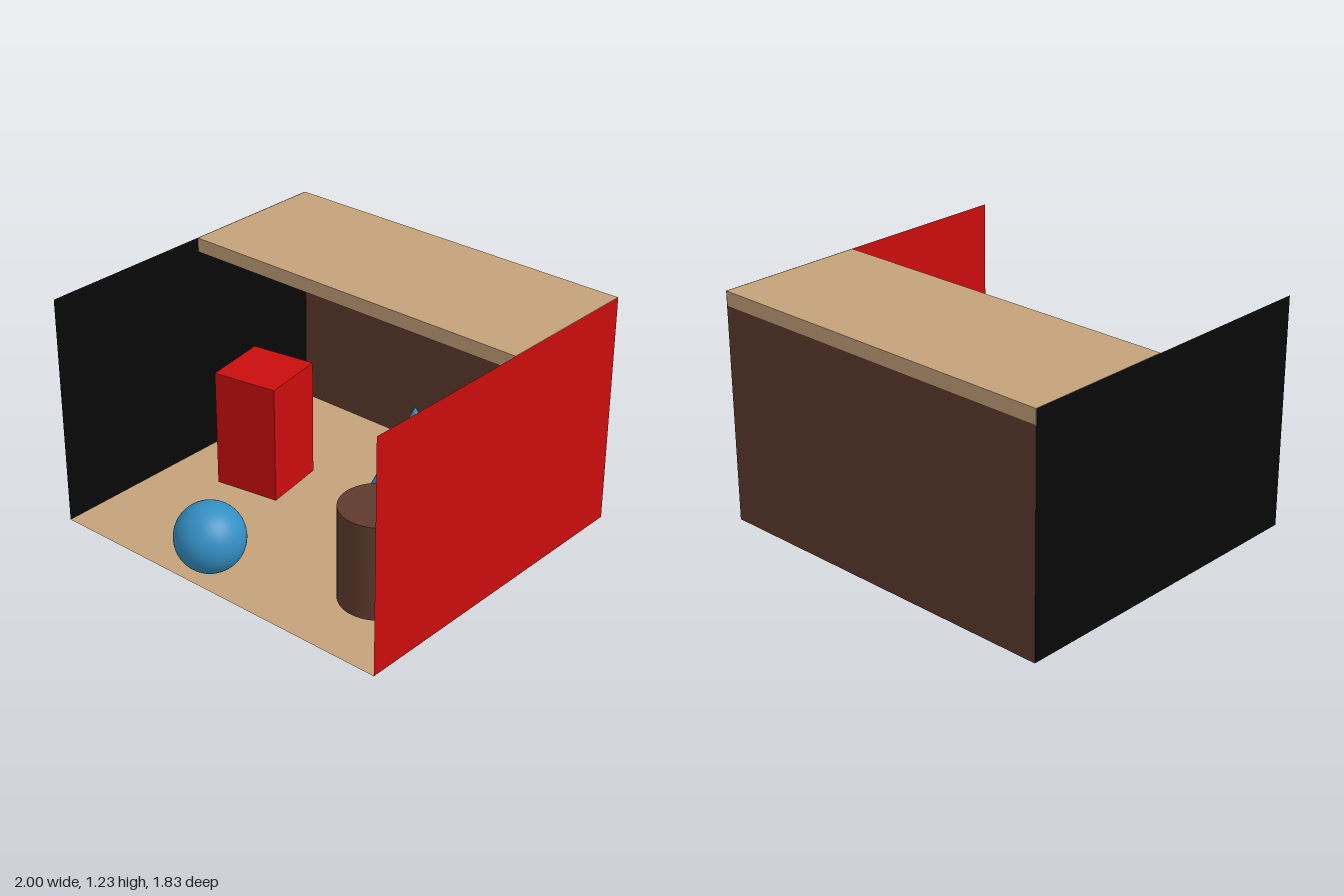
import * as THREE from 'three';

const material = (name, color, side = THREE.FrontSide) => {
  const m = new THREE.MeshStandardMaterial({ color, side });
  m.name = name;
  return m;
};

export function createModel() {
  const group = new THREE.Group();
  const tan = material('tan', 0xc4a27a, THREE.DoubleSide);
  const brown = material('brown', 0x5e3b2d, THREE.DoubleSide);
  const red = material('red', 0xcb0d0d, THREE.DoubleSide);
  const black = material('black', 0x080808, THREE.DoubleSide);
  const blue = material('blue', 0x338fc4);

  const add = (name, geometry, mat, x, y, z) => {
    const mesh = new THREE.Mesh(geometry, mat);
    mesh.name = name;
    mesh.position.set(x, y, z);
    group.add(mesh);
    return mesh;
  };

  // Room extents
  const back = -0.917, front = 0.866, height = 1.226, slabBottom = 1.15;
  const depth = front - back, midZ = (front + back) / 2;

  // Open room made of thin sheets
  add('floor', new THREE.PlaneGeometry(2, depth).rotateX(-Math.PI / 2), tan, 0, 0, midZ);
  add('backWall', new THREE.PlaneGeometry(2, slabBottom), brown, 0, slabBottom / 2, back);
  const side = new THREE.PlaneGeometry(depth, height).rotateY(Math.PI / 2);
  add('leftWall', side, red, 1, height / 2, midZ);
  add('rightWall', side, black, -1, height / 2, midZ);

  // Half-depth ceiling slab, inset a hair from the side walls
  const slabDepth = 0.815;
  add('ceilingSlab', new THREE.BoxGeometry(1.996, height - slabBottom, slabDepth), tan,
    0, (height + slabBottom) / 2, back + slabDepth / 2);

  // Solids standing in the room
  add('tallBlock', new THREE.BoxGeometry(0.356, 0.635, 0.356), red, -0.514, 0.348, -0.06).rotation.y = 0.16;
  add('ball', new THREE.SphereGeometry(0.178, 48, 32), blue, -0.133, 0.2, 0.739);
  add('cone', new THREE.ConeGeometry(0.267, 0.575, 64), blue, 0.238, 0.309, -0.348);
  add('drum', new THREE.CylinderGeometry(0.2, 0.2, 0.505, 64), brown, 0.63, 0.271, 0.39);

  return group;
}
